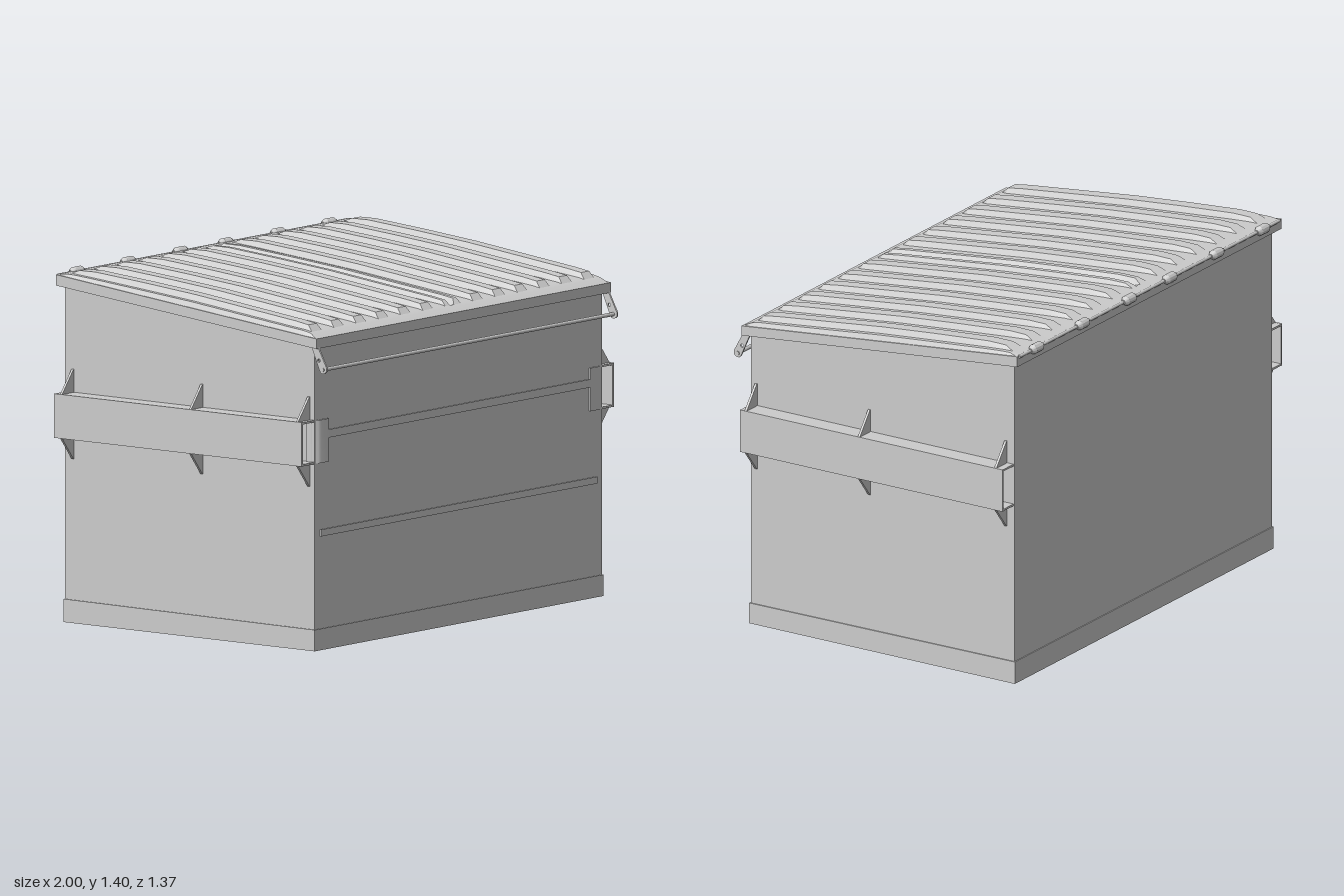
import * as THREE from 'three';
import { toCreasedNormals } from 'three/addons/utils/BufferGeometryUtils.js';

const material = new THREE.MeshStandardMaterial({ color: 0xcccccc, side: THREE.DoubleSide });

function add(parent, name, geometry, x = 0, y = 0, z = 0) {
  const mesh = new THREE.Mesh(geometry, material);
  mesh.name = name;
  mesh.position.set(x, y, z);
  parent.add(mesh);
  return mesh;
}

const box = (w, h, d) => new THREE.BoxGeometry(w, h, d);

// Side outline of [z, y] points, extruded along x and centred on it
function sideExtrude(points, width, hole) {
  const shape = new THREE.Shape(points.map(([z, y]) => new THREE.Vector2(-z, y)));
  if (hole) shape.holes.push(new THREE.Path().absarc(-hole[0], hole[1], hole[2], 0, Math.PI * 2, true));
  const geo = new THREE.ExtrudeGeometry(shape, { depth: width, bevelEnabled: false, curveSegments: 12 });
  return geo.translate(0, 0, -width / 2).rotateY(Math.PI / 2);
}

const rimTop = (z) => 1.25 + (0.64 - z) * 0.1035;

// Ribbed lid pair: rib heights across x times a lengthwise profile
function lidGeometry() {
  const half = [[0.025, 0.8], [0.045, 0.8], [0.055, 0]];
  for (let i = 0; i < 6; i++) {
    const c = 0.16 + i * 0.1425;
    half.push([c - 0.038, 0], [c - 0.026, 1], [c + 0.026, 1], [c + 0.038, 0]);
  }
  half.push([0.93, 0], [0.94, null]);
  const across = [...half.map(([x, r]) => [-x, r]).reverse(), [0, -0.8], ...half];
  // [z, panel height, rib height]
  const along = [
    [0.635, 1.25, 0], [0.605, 1.265, 0], [0.59, 1.27, 0], [0.565, 1.275, 0.019],
    [0.5, 1.282, 0.022], [0.25, 1.31, 0.023], [0, 1.338, 0.024], [-0.25, 1.361, 0.024],
    [-0.5, 1.383, 0.022], [-0.58, 1.389, 0.015], [-0.62, 1.39, 0], [-0.66, 1.386, 0],
  ];
  const pos = [], index = [], n = across.length;
  along.forEach(([z, y, rib], j) => across.forEach(([x, r], i) => {
    pos.push(x, r === null ? rimTop(z) - 0.002 : y + r * rib, z);
    if (i < n - 1 && j < along.length - 1) {
      const a = j * n + i;
      index.push(a, a + 1, a + n + 1, a, a + n + 1, a + n);
    }
  }));
  const geo = new THREE.BufferGeometry();
  geo.setAttribute('position', new THREE.Float32BufferAttribute(pos, 3));
  geo.setIndex(index);
  return toCreasedNormals(geo, 0.35);
}

// Fork pocket, gussets and front wrap plate for one side (s = 1 left, -1 right)
function forkPocket(s) {
  const g = new THREE.Group();
  g.name = s > 0 ? 'leftForkPocket' : 'rightForkPocket';
  const length = 1.24, zMid = -0.01;
  add(g, 'pocketOuterPlate', box(0.008, 0.176, length), s * 0.996, 0.8325, zMid);
  for (const y of [0.749, 0.916]) add(g, 'pocketPlate', box(0.08, 0.008, length), s * 0.957, y, zMid);

  for (const z of [0.585, 0.05, -0.595]) {
    for (const [yNear, yFar] of [[0.92, 1.012], [0.745, 0.655]]) {
      const shape = new THREE.Shape([
        new THREE.Vector2(s * 0.915, yNear), new THREE.Vector2(s * 0.998, yNear),
        new THREE.Vector2(s * 0.925, yFar), new THREE.Vector2(s * 0.915, yFar),
      ]);
      add(g, 'gusset', new THREE.ExtrudeGeometry(shape, { depth: 0.01, bevelEnabled: false }), 0, 0, z - 0.005);
    }
  }

  // Plate bent around the front corner, drawn in plan then stood up
  const plan = new THREE.Shape();
  plan.moveTo(s * 0.838, -0.6);
  plan.lineTo(s * 0.838, -0.62);
  plan.lineTo(s * 0.885, -0.62);
  plan.quadraticCurveTo(s * 0.925, -0.618, s * 0.925, -0.575);
  plan.lineTo(s * 0.915, -0.575);
  plan.closePath();
  const wrap = new THREE.ExtrudeGeometry(plan, { depth: 0.172, bevelEnabled: false, curveSegments: 8 });
  add(g, 'cornerWrapPlate', toCreasedNormals(wrap.rotateX(-Math.PI / 2), 0.6), 0, 0.747, 0);
  return g;
}

export function createModel() {
  const model = new THREE.Group();
  model.name = 'wasteContainer';

  // Sloped-top body, base skirt and front stiffeners
  add(model, 'body', sideExtrude([[0.612, 0], [0.612, 1.23], [-0.635, 1.36], [-0.635, 0]], 1.84));
  add(model, 'baseSkirt', sideExtrude([[0.616, 0], [0.616, 0.085], [-0.639, 0.092], [-0.639, 0]], 1.85));
  add(model, 'upperFrontRib', box(1.68, 0.032, 0.012), 0, 0.858, 0.612);
  add(model, 'lowerFrontRib', box(1.77, 0.027, 0.012), 0, 0.467, 0.612);

  // Lid rim and the two ribbed lids
  add(model, 'lidRim', sideExtrude([[0.64, 1.21], [0.64, 1.25], [-0.663, 1.385], [-0.663, 1.342]], 1.888));
  add(model, 'lids', lidGeometry());

  // Hinge rod and knuckles at the back
  const rod = (r, l) => new THREE.CylinderGeometry(r, r, l, 12).rotateZ(Math.PI / 2);
  add(model, 'hingeRod', rod(0.007, 1.86), 0, 1.381, -0.662);
  const knuckle = new THREE.LatheGeometry([
    [0, -0.043], [0.009, -0.043], [0.02, -0.024], [0.02, 0.024], [0.009, 0.043], [0, 0.043],
  ].map(([r, y]) => new THREE.Vector2(r, y)), 12).rotateZ(Math.PI / 2);
  for (const x of [0.145, 0.48, 0.808]) {
    for (const s of [-1, 1]) add(model, 'hingeKnuckle', toCreasedNormals(knuckle, 0.5), s * x, 1.382, -0.664);
  }

  // Front lift bar on a pair of drilled arms
  const arm = [
    [0.604, 1.222], [0.636, 1.222], [0.683, 1.135], [0.683, 1.122],
    [0.672, 1.112], [0.658, 1.111], [0.65, 1.118],
  ];
  for (const s of [-1, 1]) {
    add(model, 'liftArm', sideExtrude(arm, 0.008, [0.644, 1.163, 0.007]), s * 0.93);
    model.add(forkPocket(s));
  }
  add(model, 'liftBar', rod(0.008, 1.876), 0, 1.128, 0.664);

  return model;
}
